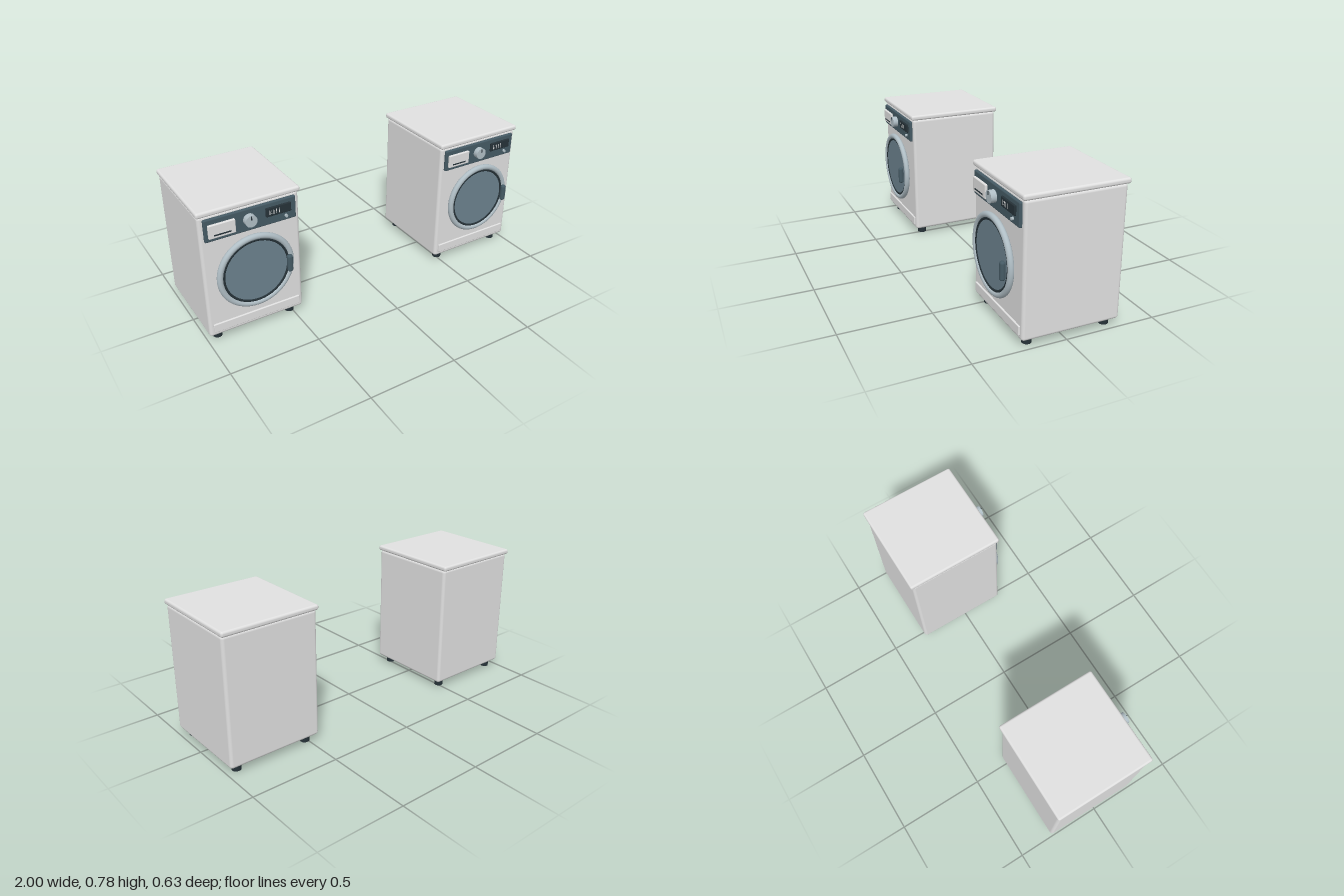
import * as THREE from 'three';
import { RoundedBoxGeometry } from 'three/addons/geometries/RoundedBoxGeometry.js';

const makeMaterial = (name, color) => {
  const m = new THREE.MeshStandardMaterial({ color });
  m.name = name;
  return m;
};

export function createModel() {
  const enamel = makeMaterial('white enamel', 0xe0e0e0);
  const silver = makeMaterial('silver', 0xb0bec5);
  const slate = makeMaterial('slate panel', 0x455a64);
  const dark = makeMaterial('dark rubber', 0x263238);
  const glass = makeMaterial('door glass', 0x6c828e);

  const add = (parent, name, geometry, material, x, y, z) => {
    const mesh = new THREE.Mesh(geometry, material);
    mesh.name = name;
    mesh.position.set(x, y, z);
    parent.add(mesh);
    return mesh;
  };
  const rounded = (w, h, d, r) => new RoundedBoxGeometry(w, h, d, 4, r);
  const box = (w, h, d) => new THREE.BoxGeometry(w, h, d);
  // Cylinder whose axis points to the front
  const disc = (r, d, n = 32) => new THREE.CylinderGeometry(r, r, d, n).rotateX(Math.PI / 2);

  function createWasher() {
    const washer = new THREE.Group();

    // Cabinet
    add(washer, 'cabinet', rounded(0.54, 0.715, 0.54, 0.017), enamel, 0, 0.3975, -0.03);
    add(washer, 'lid', rounded(0.553, 0.03, 0.563, 0.012), enamel, 0, 0.767, -0.031);
    add(washer, 'kickPanel', rounded(0.495, 0.05, 0.014, 0.004), enamel, 0, 0.092, 0.242);
    for (const x of [-0.212, 0.212]) for (const z of [0.186, -0.248])
      add(washer, 'foot', new THREE.CylinderGeometry(0.025, 0.025, 0.05, 24), dark, x, 0.025, z);

    // Control panel
    const controls = new THREE.Group();
    controls.name = 'controlPanel';
    washer.add(controls);
    add(controls, 'panelPlate', rounded(0.492, 0.124, 0.02, 0.007), slate, 0, 0.677, 0.245);
    add(controls, 'detergentDrawer', rounded(0.142, 0.075, 0.016, 0.005), enamel, -0.158, 0.674, 0.26);
    add(controls, 'drawerGrip', box(0.09, 0.007, 0.004), dark, -0.158, 0.654, 0.268);
    add(controls, 'knob', disc(0.032, 0.03), silver, -0.012, 0.681, 0.27);
    add(controls, 'knobPointer', box(0.005, 0.02, 0.006), dark, -0.012, 0.7, 0.286);
    add(controls, 'display', rounded(0.139, 0.05, 0.012, 0.004), dark, 0.146, 0.69, 0.259);
    add(controls, 'indicatorButton', disc(0.008, 0.014, 16), silver, 0.187, 0.643, 0.26);

    // Lit bars on the display
    for (const x of [0.096, 0.118, 0.133, 0.148])
      add(controls, 'displayBar', box(0.004, 0.026, 0.002), enamel, x, 0.689, 0.265);
    for (const y of [0.682, 0.696])
      add(controls, 'displayDot', box(0.004, 0.004, 0.002), enamel, 0.107, y, 0.265);

    // Round door
    const door = new THREE.Group();
    door.name = 'door';
    door.position.set(0, 0.385, 0.268);
    washer.add(door);
    add(door, 'doorRing', new THREE.TorusGeometry(0.197, 0.016, 20, 72), silver, 0, 0, 0);
    add(door, 'doorSeal', new THREE.TorusGeometry(0.179, 0.01, 12, 72), dark, 0, 0, 0);
    add(door, 'doorGlass', disc(0.178, 0.012, 64), glass, 0, 0, 0);
    add(door, 'doorHandle', rounded(0.03, 0.1, 0.028, 0.0125), slate, 0.175, 0, 0.033);
    return washer;
  }

  // Matching pair of machines
  const model = new THREE.Group();
  model.name = 'washingMachines';
  for (const [name, x] of [['rightWasher', -0.7235], ['leftWasher', 0.7235]]) {
    const washer = createWasher();
    washer.name = name;
    washer.position.x = x;
    model.add(washer);
  }
  return model;
}
